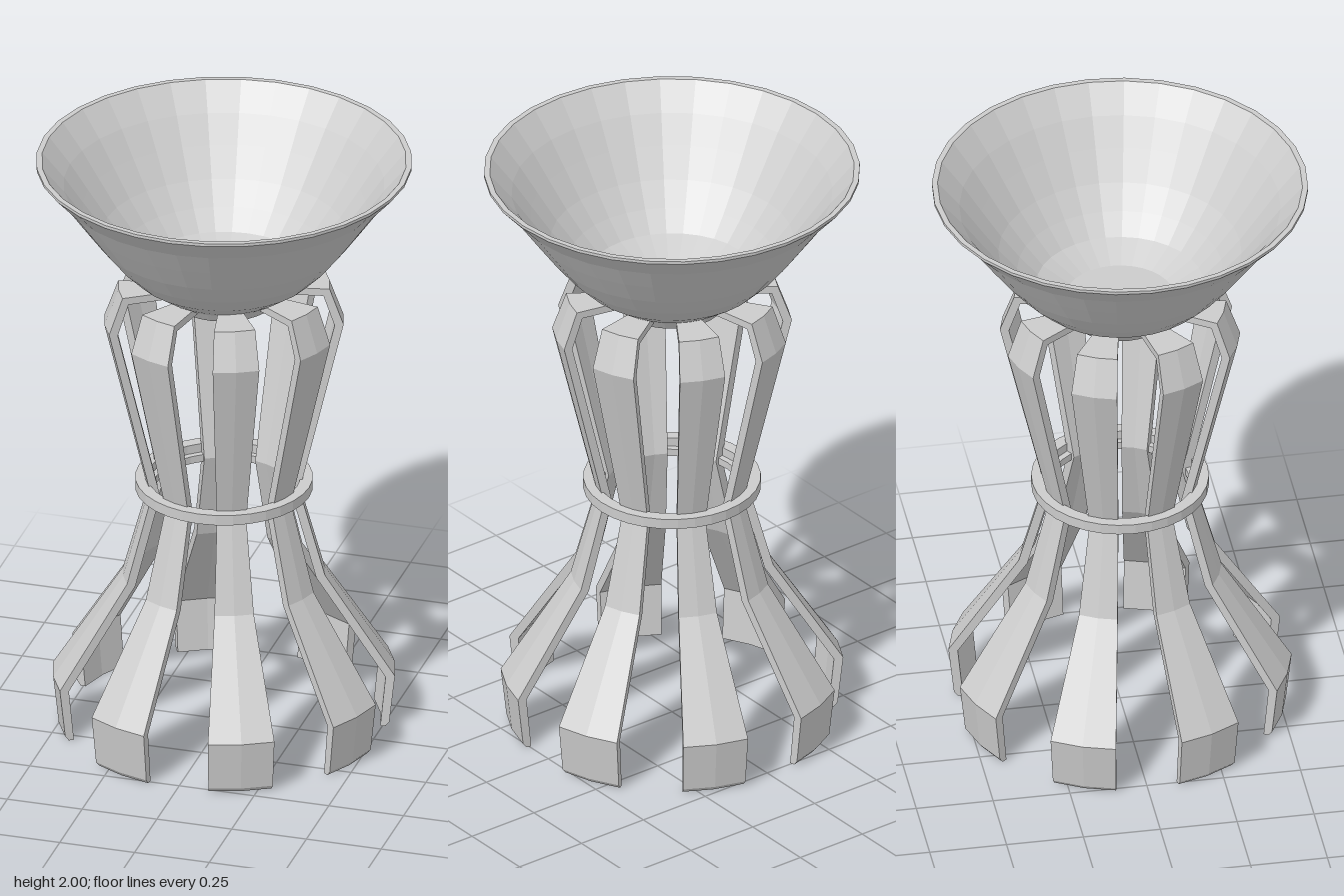
import * as THREE from 'three';

const SEGMENT = Math.PI / 16; // 32 sides per full turn
const material = new THREE.MeshStandardMaterial({
  color: 0xcccccc, flatShading: true, side: THREE.DoubleSide,
});
const toPoints = (list) => list.map(([r, y]) => new THREE.Vector2(r, y));

// Turns a closed profile (radius, height) into a full ring.
function turned(name, profile) {
  const points = toPoints([...profile, profile[0]]);
  const mesh = new THREE.Mesh(new THREE.LatheGeometry(points, 32), material);
  mesh.name = name;
  return mesh;
}

// Curved leg: a two-segment slice of a turned profile, closed at both sides.
function createLeg(profile, start) {
  const leg = new THREE.Group();
  leg.name = 'leg';
  const points = toPoints(profile);
  const strip = new THREE.Mesh(
    new THREE.LatheGeometry([...points, points[0]], 2, start, 2 * SEGMENT), material);
  strip.name = 'legStrip';
  leg.add(strip);
  const sideGeometry = new THREE.ShapeGeometry(new THREE.Shape(points));
  for (const angle of [start, start + 2 * SEGMENT]) {
    const side = new THREE.Mesh(sideGeometry, material);
    side.name = 'legSide';
    side.rotation.y = angle - Math.PI / 2;
    leg.add(side);
  }
  return leg;
}

export function createModel() {
  const model = new THREE.Group();
  model.name = 'bowlOnStand';

  // Eight legs: flared feet, narrow waist, shoulders folded in under the bowl
  const legProfile = [
    [0.503, 0], [0.52, 0], [0.532, 0.015], [0.55, 0.18], [0.325, 0.53],
    [0.243, 0.83], [0.385, 1.43], [0.34, 1.555], [0.18, 1.555],
    [0.18, 1.53], [0.32, 1.53], [0.356, 1.425], [0.214, 0.83],
    [0.297, 0.52], [0.52, 0.175],
  ];
  const legs = new THREE.Group();
  legs.name = 'legs';
  for (let i = 0; i < 8; i++) {
    legs.add(createLeg(legProfile, SEGMENT + (i * Math.PI) / 4));
  }
  model.add(legs);

  // Flat hoop round the waist, with a thin collar under it
  model.add(turned('waistHoop', [[0.245, 0.835], [0.285, 0.835], [0.285, 0.87], [0.245, 0.87]]));
  model.add(turned('waistCollar', [[0.225, 0.815], [0.24, 0.815], [0.25, 0.84], [0.225, 0.84]]));

  // Thin-walled bowl: up the outside, over the rim, down the inside
  model.add(turned('bowl', [
    [0, 1.505], [0.165, 1.505], [0.185, 1.535], [0.225, 1.56], [0.29, 1.605],
    [0.35, 1.665], [0.41, 1.74], [0.475, 1.83], [0.535, 1.915],
    [0.603, 1.99], [0.603, 2], [0.585, 2],
    [0.515, 1.915], [0.455, 1.83], [0.39, 1.74], [0.33, 1.67],
    [0.27, 1.61], [0.175, 1.565], [0, 1.565],
  ]));

  return model;
}
